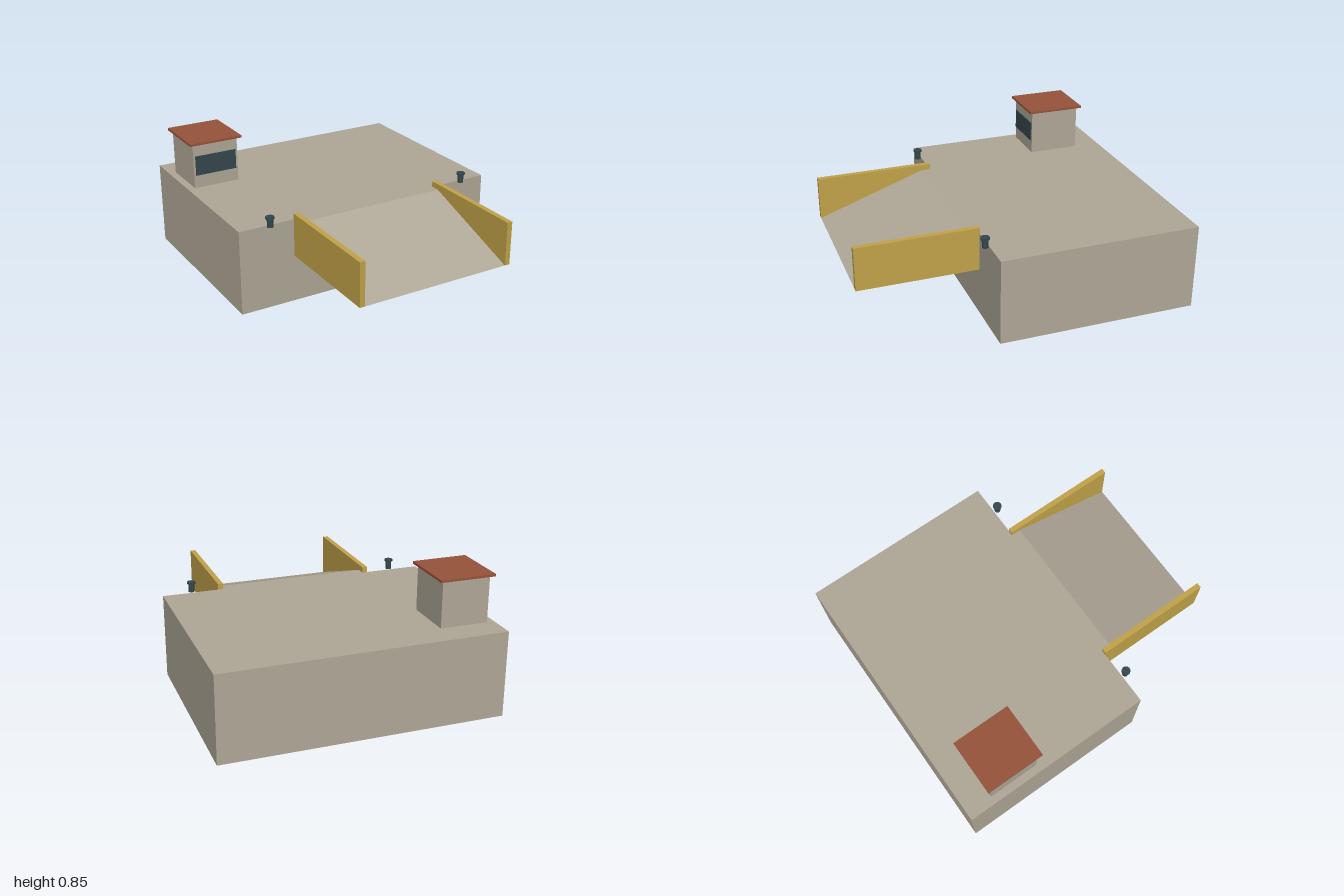
import * as THREE from 'three';

const mat = (name, color) => {
  const m = new THREE.MeshStandardMaterial({ color });
  m.name = name;
  return m;
};

export function createModel() {
  const concrete = mat('concrete', 0xb0a898);
  const yellow = mat('safety yellow', 0xc2a44a);
  const red = mat('roof red', 0x98543c);
  const dark = mat('dark steel', 0x34484d);

  const model = new THREE.Group();
  model.name = 'loadingDock';

  const add = (name, geometry, material, parent = model) => {
    const mesh = new THREE.Mesh(geometry, material);
    mesh.name = name;
    parent.add(mesh);
    return mesh;
  };

  // Box given by its lower and upper corners
  const block = (name, a, b, material, parent) => {
    const mesh = add(name, new THREE.BoxGeometry(b[0] - a[0], b[1] - a[1], b[2] - a[2]), material, parent);
    mesh.position.set((a[0] + b[0]) / 2, (a[1] + b[1]) / 2, (a[2] + b[2]) / 2);
  };

  // Main platform
  block('platform', [-0.875, 0, -1], [0.875, 0.54, 0.25], concrete);

  // Ramp: side profile (z, y) with a short level landing, extruded across x
  const profile = new THREE.Shape([
    [-0.25, 0.302], [-0.25, 0.54], [-0.31, 0.54], [-1, 0.302],
  ].map(([z, y]) => new THREE.Vector2(z, y)));
  const rampGeometry = new THREE.ExtrudeGeometry(profile, { depth: 0.97, bevelEnabled: false });
  rampGeometry.translate(0, 0, -0.485).rotateY(Math.PI / 2);
  add('ramp', rampGeometry, concrete);

  // Side walls of the ramp and mooring posts
  for (const [side, s] of [['left', 1], ['right', -1]]) {
    const x = s * 0.5;
    block(side + 'RampWall', [x - 0.017, 0.302, 0.248], [x + 0.017, 0.577, 1], yellow);

    const post = new THREE.Group();
    post.name = side + 'Bollard';
    post.position.set(s * 0.685, 0.54, 0.275);
    model.add(post);
    add('stem', new THREE.CylinderGeometry(0.019, 0.019, 0.055, 16), dark, post).position.y = 0.0275;
    add('cap', new THREE.CylinderGeometry(0.027, 0.027, 0.013, 16), dark, post).position.y = 0.0595;
  }

  // Control cabin
  const cabin = new THREE.Group();
  cabin.name = 'cabin';
  model.add(cabin);
  block('cabinBody', [-0.828, 0.54, -0.828], [-0.526, 0.83, -0.5], concrete, cabin);
  block('cabinRoof', [-0.852, 0.83, -0.852], [-0.502, 0.845, -0.476], red, cabin);
  block('cabinWindow', [-0.815, 0.625, -0.501], [-0.54, 0.752, -0.493], dark, cabin);

  return model;
}
